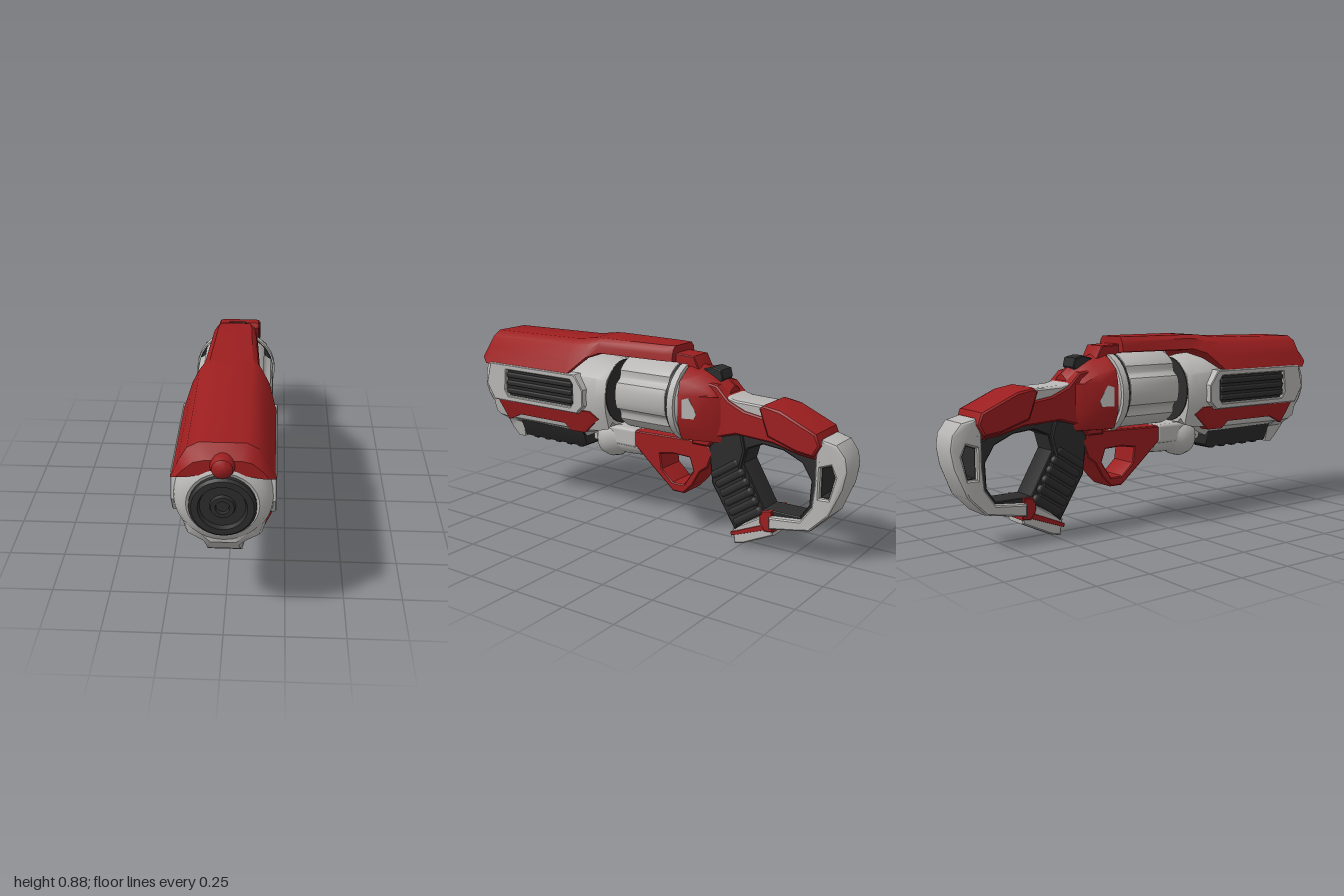
import * as THREE from 'three';
import { toCreasedNormals } from 'three/addons/utils/BufferGeometryUtils.js';
import { RoundedBoxGeometry } from 'three/addons/geometries/RoundedBoxGeometry.js';

const material = (name, color) => {
  const m = new THREE.MeshStandardMaterial({ color });
  m.name = name;
  return m;
};

// Shape from [z, y] points, with optional holes
function outline(points, holes = []) {
  const toVectors = (list) => list.map(([a, b]) => new THREE.Vector2(a, b));
  const shape = new THREE.Shape(toVectors(points));
  for (const h of holes) shape.holes.push(new THREE.Path(toVectors(h)));
  return shape;
}

// Side profile extruded across x; widthAt(z, y) may taper the half width
function sideProfile(points, halfWidth, bevel = 0.012, holes = [], widthAt = null) {
  const depth = 2 * (halfWidth - bevel);
  const geo = new THREE.ExtrudeGeometry(outline(points, holes), {
    depth, bevelEnabled: bevel > 0, bevelThickness: bevel, bevelSize: bevel / 2,
    bevelOffset: -bevel / 2, bevelSegments: 2,
  });
  geo.translate(0, 0, -depth / 2).rotateY(-Math.PI / 2);
  if (widthAt) {
    const p = geo.attributes.position;
    for (let i = 0; i < p.count; i++) p.setX(i, p.getX(i) / halfWidth * widthAt(p.getZ(i), p.getY(i)));
  }
  return toCreasedNormals(geo, 0.6);
}

// Mirrored loft: sections run front to back, each [z, half profile from top to bottom]
function loft(sections) {
  const pos = [], idx = [];
  const rings = sections.map(([z, half]) => {
    const mirrored = half.slice(1, -1).reverse().map(([x, y]) => [-x, y]);
    return [...half, ...mirrored].map(([x, y]) => [x, y, z]);
  });
  const n = rings[0].length, last = rings.length - 1;
  rings.forEach((r) => r.forEach((v) => pos.push(...v)));
  for (let s = 0; s < last; s++) for (let i = 0; i < n; i++) {
    const a = s * n + i, b = s * n + (i + 1) % n, c = a + n, d = b + n;
    idx.push(a, b, c, b, d, c);
  }
  for (const s of [0, last]) {
    const half = sections[s][1], mid = pos.length / 3;
    pos.push(0, (half[0][1] + half[half.length - 1][1]) / 2, sections[s][0]);
    for (let i = 0; i < n; i++) {
      const a = s * n + i, b = s * n + (i + 1) % n;
      idx.push(mid, ...(s === 0 ? [b, a] : [a, b]));
    }
  }
  const geo = new THREE.BufferGeometry();
  geo.setAttribute('position', new THREE.Float32BufferAttribute(pos, 3));
  geo.setIndex(idx);
  return toCreasedNormals(geo, 0.6);
}

// Turned part along z from [radius, z] points, back to front
function turned(points, y, segments = 28) {
  const geo = new THREE.LatheGeometry(points.map(([r, z]) => new THREE.Vector2(r, z)), segments);
  return toCreasedNormals(geo.rotateX(Math.PI / 2).translate(0, y, 0), 0.6);
}

export function createModel() {
  const red = material('red plastic', 0x9c1e1f);
  const grey = material('light grey plastic', 0xb8b7b5);
  const dark = material('dark rubber', 0x2c2c2c);
  const group = new THREE.Group();
  const add = (name, geo, mat) => {
    const mesh = new THREE.Mesh(geo, mat);
    mesh.name = name;
    group.add(mesh);
    return mesh;
  };

  // Barrel housing with a round nose and a chin
  const bodySection = (z, k, bottom, chin) => [z, [
    [0, 0.61 + 0.18 * k], [0.1 * k, 0.61 + 0.155 * k], [0.165 * k, 0.61 + 0.09 * k], [0.182 * k, 0.61],
    [0.178 * k, 0.61 - 0.08 * k], [0.15 * k, 0.61 - 0.18 * k],
    [chin + 0.02, Math.max(bottom + 0.02, 0.39)], [chin, bottom], [0, bottom]]];
  add('barrelHousing', loft([
    bodySection(0.95, 0.7, 0.425, 0.05), bodySection(0.92, 0.92, 0.39, 0.06), bodySection(0.88, 1, 0.345, 0.065),
    bodySection(0.83, 1.02, 0.305, 0.07), bodySection(0.785, 1.02, 0.31, 0.075), bodySection(0.775, 1.02, 0.38, 0.075),
    bodySection(0.36, 1, 0.38, 0.08), bodySection(0.24, 0.95, 0.44, 0.08), bodySection(0.19, 0.88, 0.46, 0.08)]), grey);
  add('noseRing', turned([[0, 0.8], [0.185, 0.8], [0.198, 0.85], [0.197, 0.89], [0.188, 0.925], [0.17, 0.952],
    [0.14, 0.966], [0.12, 0.955], [0, 0.955]], 0.61, 32), grey);
  add('housingRear', turned([[0, 0.185], [0.155, 0.185], [0.155, 0.195], [0, 0.195]], 0.615), dark);
  add('sideWindowFrame', sideProfile(
    [[0.92, 0.6], [0.89, 0.71], [0.34, 0.71], [0.29, 0.64], [0.29, 0.56], [0.33, 0.52], [0.87, 0.52]],
    0.203, 0.012,
    [[[0.79, 0.58], [0.78, 0.68], [0.37, 0.68], [0.355, 0.66], [0.355, 0.57], [0.37, 0.55], [0.77, 0.55]]]), grey);
  for (const s of [-1, 1]) {
    add('sideWindow', new THREE.BoxGeometry(0.008, 0.15, 0.45).translate(s * 0.184, 0.615, 0.575), dark);
    for (let i = 0; i < 3; i++)
      add('sideWindowRib', new RoundedBoxGeometry(0.02, 0.026, 0.42, 2, 0.008)
        .translate(s * 0.189, 0.575 + i * 0.04, 0.575), dark);
  }

  // Muzzle with stepped bore
  add('muzzle', turned([[0, 0.93], [0.13, 0.93], [0.13, 0.975], [0.12, 0.985], [0.095, 0.985],
    [0.088, 0.967], [0.05, 0.967], [0.045, 0.98], [0.028, 0.98], [0.025, 0.966], [0, 0.966]], 0.605), dark);
  add('frontSight', turned([[0, 0.9], [0.047, 0.9], [0.047, 0.965], [0.04, 0.985], [0.022, 0.997], [0, 1]], 0.778, 20), red);

  // Upper shroud and rail over the drum
  const wide = (z, top) => [z, [[0, top], [0.09, top], [0.135, top - 0.025], [0.17, 0.77],
    [0.2, 0.7], [0.175, 0.7], [0, 0.76]]];
  const rail = (z, w) => [z, [[0, 0.878], [0.8 * w, 0.878], [w, 0.86], [w + 0.005, 0.84],
    [w + 0.01, 0.81], [w - 0.02, 0.805], [0, 0.805]]];
  add('upperShroud', loft([
    [0.96, [[0, 0.8], [0.07, 0.8], [0.11, 0.79], [0.15, 0.755], [0.175, 0.725], [0.15, 0.725], [0, 0.75]]],
    wide(0.92, 0.855), wide(0.4, 0.862),
    [0.3, [[0, 0.876], [0.095, 0.876], [0.135, 0.85], [0.15, 0.82], [0.165, 0.79], [0.14, 0.785], [0, 0.79]]],
    rail(0.25, 0.115), rail(-0.1, 0.095), rail(-0.145, 0.085)]), red);
  add('railTab', sideProfile([[-0.08, 0.86], [-0.14, 0.845], [-0.24, 0.84], [-0.27, 0.78], [-0.25, 0.74], [-0.22, 0.78],
    [-0.08, 0.81]], 0.06), red);

  // Lower side panels, leaning inward toward the bottom and the rear
  add('lowerSidePanels', sideProfile([[0.85, 0.53], [0.35, 0.535], [0.27, 0.535], [0.23, 0.5], [0.32, 0.42], [0.4, 0.42],
    [0.43, 0.455], [0.72, 0.455], [0.81, 0.415]], 0.2, 0,
  [], (z, y) => 0.2 - (0.535 - y) * 0.33 - Math.max(0, 0.35 - z) * 0.22), red);

  // Ribbed fore grip, narrower toward the bottom
  add('foreGrip', sideProfile([[0.785, 0.41], [0.365, 0.41], [0.375, 0.33], [0.4, 0.315], [0.785, 0.315]], 0.11, 0.01,
    [], (z, y) => 0.068 + (y - 0.315) * 0.45), dark);
  for (let i = 0; i < 5; i++)
    add('foreGripRib', new RoundedBoxGeometry(0.13, 0.04, 0.04, 2, 0.012).translate(0, 0.326, 0.43 + i * 0.073), dark);
  add('foreGripJoint', turned([[0, 0.06], [0.07, 0.06], [0.075, 0.15], [0.075, 0.18], [0.094, 0.21],
    [0.104, 0.25], [0.094, 0.29], [0.06, 0.32], [0, 0.33]], 0.385), grey);
  add('jointBridge', new RoundedBoxGeometry(0.16, 0.09, 0.26, 2, 0.015).translate(0, 0.41, 0.2), grey);

  // Fluted drum, chambers and axle
  const flutes = [];
  for (let i = 0; i < 72; i++) {
    const a = i / 72 * Math.PI * 2;
    const r = 0.18 - 0.018 * Math.max(0, -Math.cos(6 * a) - 0.45) / 0.55;
    flutes.push([r * Math.cos(a), r * Math.sin(a)]);
  }
  add('drum', toCreasedNormals(new THREE.ExtrudeGeometry(outline(flutes), {
    depth: 0.26, bevelThickness: 0.012, bevelSize: 0.012, bevelOffset: -0.012, bevelSegments: 2,
  }).translate(0, 0.634, -0.152), 0.6), grey);
  for (let i = 0; i < 6; i++) {
    const a = i / 6 * Math.PI * 2;
    add('chamber', new THREE.CylinderGeometry(0.028, 0.028, 0.006, 16).rotateX(Math.PI / 2)
      .translate(0.11 * Math.cos(a), 0.634 + 0.11 * Math.sin(a), 0.121), dark);
  }
  add('axle', turned([[0, 0.1], [0.025, 0.1], [0.055, 0.19], [0, 0.19]], 0.62, 16), dark);
  add('drumSeal', turned([[0, -0.18], [0.178, -0.18], [0.178, -0.164], [0, -0.164]], 0.63), dark);
  add('drumBackPlate', turned([[0, -0.222], [0.16, -0.222], [0.17, -0.21], [0.187, -0.21],
    [0.187, -0.178], [0.165, -0.174], [0, -0.174]], 0.625), grey);

  // Domed receiver
  const dome = (z, w, top) => [z, [[0, top], [0.5 * w, top - 0.02], [0.9 * w, top - 0.07], [w, 0.68],
    [w, 0.55], [0.8 * w, 0.47], [0, 0.45]]];
  add('receiver', loft([dome(-0.222, 0.162, 0.81), dome(-0.3, 0.14, 0.79), dome(-0.37, 0.115, 0.755),
    dome(-0.42, 0.075, 0.72)]), red);
  add('receiverWindow', sideProfile([[-0.24, 0.66], [-0.27, 0.67], [-0.305, 0.6], [-0.295, 0.575], [-0.24, 0.575]],
    0.16, 0, [], (z) => 0.163 + (0.222 + z) * 0.282), grey);
  add('hammer', sideProfile([[-0.28, 0.785], [-0.33, 0.8], [-0.375, 0.79], [-0.385, 0.75], [-0.36, 0.72], [-0.28, 0.72]],
    0.045, 0.012), dark);

  // Neck, stock top and pad
  add('neck', sideProfile([[-0.25, 0.75], [-0.38, 0.73], [-0.44, 0.67], [-0.52, 0.635], [-0.62, 0.62], [-0.88, 0.55],
    [-0.87, 0.47], [-0.78, 0.48], [-0.66, 0.51], [-0.48, 0.52], [-0.38, 0.49], [-0.34, 0.44], [-0.25, 0.44]],
  0.09, 0.02), red);
  add('neckPad', sideProfile([[-0.4, 0.69], [-0.47, 0.675], [-0.62, 0.67], [-0.64, 0.61], [-0.5, 0.61], [-0.42, 0.64]],
    0.08, 0.02), grey);
  add('stockTop', sideProfile([[-0.595, 0.66], [-0.62, 0.678], [-0.7, 0.665], [-0.87, 0.59], [-0.89, 0.54], [-0.86, 0.485],
    [-0.78, 0.495], [-0.64, 0.54]], 0.105, 0.022), red);

  // Lower frame with trigger guard
  add('triggerGuard', sideProfile([[0.095, 0.45], [-0.3, 0.46], [-0.36, 0.42], [-0.33, 0.34], [-0.29, 0.31],
    [-0.25, 0.24], [-0.2, 0.19], [-0.14, 0.19], [-0.02, 0.29], [0.095, 0.39]], 0.076, 0.014,
  [[[-0.07, 0.36], [-0.14, 0.372], [-0.23, 0.368], [-0.25, 0.31], [-0.2, 0.235], [-0.14, 0.235], [-0.08, 0.29]]]), red);

  // Ribbed hand grip
  add('handGrip', sideProfile([[-0.33, 0.44], [-0.38, 0.51], [-0.5, 0.53], [-0.52, 0.45], [-0.5, 0.37], [-0.6, 0.18],
    [-0.475, 0.07], [-0.35, 0.27]], 0.076, 0.02), dark);
  for (let i = 0; i < 6; i++) {
    const t = i / 5;
    const rib = add('handGripRib', new RoundedBoxGeometry(0.164, 0.042, 0.168, 3, 0.018), dark);
    rib.position.set(0, 0.35 - 0.2 * t, -0.42 - 0.12 * t);
    rib.rotation.x = 0.58;
  }
  add('gripBase', sideProfile([[-0.457, 0.076], [-0.47, 0], [-0.52, 0.012], [-0.665, 0.08], [-0.67, 0.15], [-0.6, 0.16]],
    0.066, 0.016), grey);
  add('gripBaseStripe', sideProfile([[-0.452, 0.055], [-0.456, 0.038], [-0.66, 0.115], [-0.64, 0.135]],
    0.07, 0.003), red);
  add('gripBaseClip', sideProfile([[-0.595, 0.19], [-0.66, 0.2], [-0.67, 0.1], [-0.625, 0.095], [-0.6, 0.13]],
    0.072, 0.01), red);

  // Dark lining of the hand opening
  add('handOpeningLining', sideProfile([[-0.44, 0.52], [-0.64, 0.53], [-0.8, 0.49], [-0.87, 0.46], [-0.875, 0.25],
    [-0.82, 0.155], [-0.6, 0.16], [-0.5, 0.36]], 0.062, 0.012,
  [[[-0.51, 0.39], [-0.53, 0.46], [-0.6, 0.49], [-0.7, 0.48], [-0.79, 0.44], [-0.835, 0.37], [-0.83, 0.26],
    [-0.79, 0.2], [-0.62, 0.2]]]), dark);

  // Shoulder stock with a dark-lined slot and lower bar
  add('shoulderStock', sideProfile([[-0.86, 0.5], [-0.885, 0.565], [-0.95, 0.55], [-0.99, 0.5], [-1, 0.44], [-0.985, 0.36],
    [-0.93, 0.23], [-0.85, 0.15], [-0.8, 0.14], [-0.65, 0.115], [-0.65, 0.175], [-0.8, 0.19], [-0.85, 0.26], [-0.86, 0.36]],
  0.088, 0.018,
  [[[-0.888, 0.44], [-0.93, 0.455], [-0.95, 0.41], [-0.925, 0.31], [-0.888, 0.31]]],
  (z) => 0.088 - Math.max(0, -0.88 - z) * 0.13), grey);
  add('stockSlotLining', sideProfile([[-0.876, 0.45], [-0.933, 0.467], [-0.962, 0.41], [-0.934, 0.298], [-0.876, 0.298]],
    0.07, 0, [[[-0.89, 0.438], [-0.928, 0.452], [-0.947, 0.41], [-0.923, 0.313], [-0.89, 0.313]]]), dark);
  return group;
}
